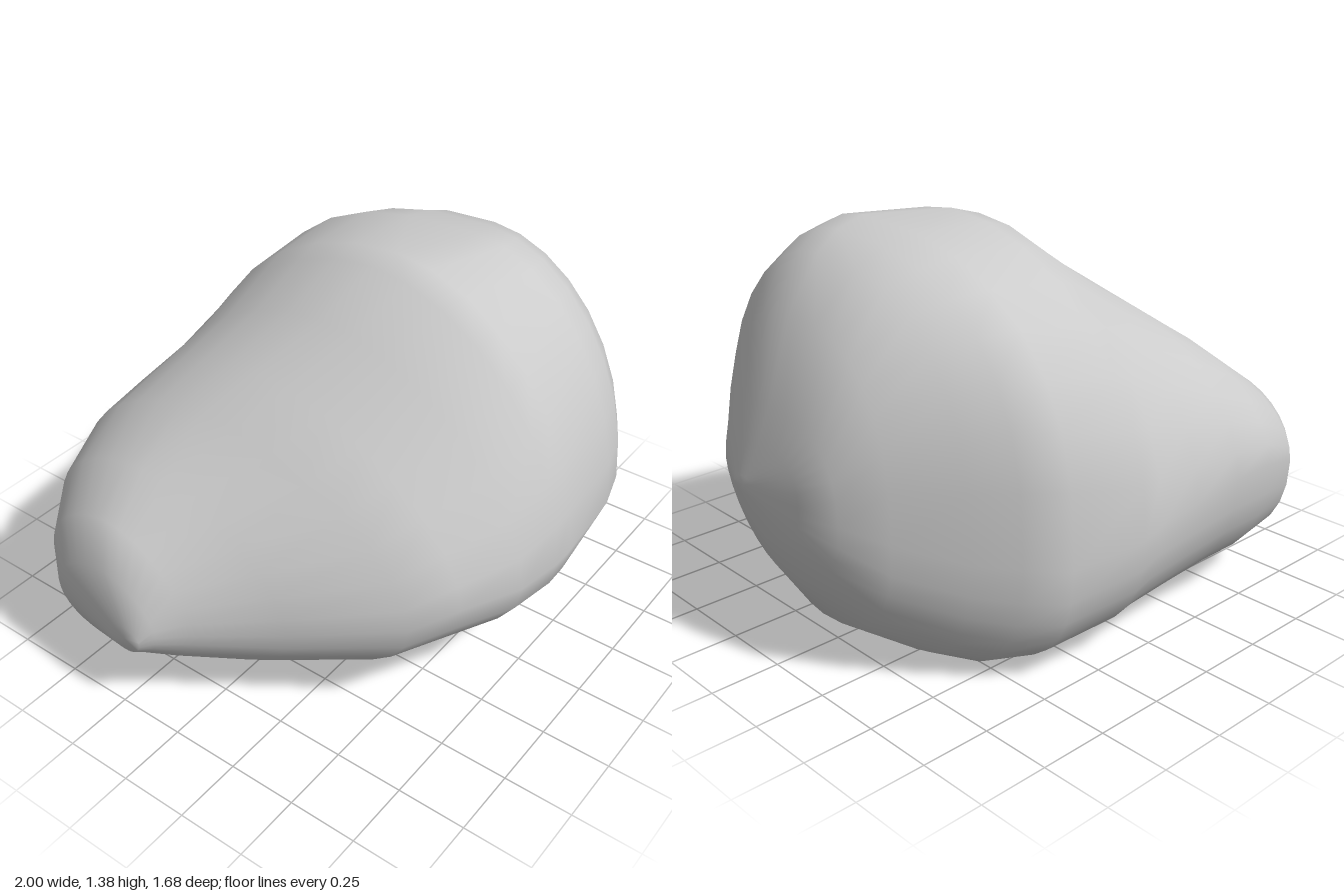
import * as THREE from 'three';

const { lerp, smoothstep } = THREE.MathUtils;

// Cross-sections along x:
// [x, top, bottom, back z, front z, widest y at back, widest y at front, ridge z, keel z]
const sections = [
  [-1.00, 0.37, 0.27, -0.28, -0.14, 0.32, 0.33, -0.21, -0.21],
  [-0.96, 0.53, 0.22, -0.56, -0.10, 0.37, 0.35, -0.32, -0.30],
  [-0.88, 0.67, 0.16, -0.66, -0.01, 0.42, 0.35, -0.36, -0.32],
  [-0.70, 0.78, 0.08, -0.79, 0.25, 0.48, 0.36, -0.36, -0.34],
  [-0.50, 0.94, 0.06, -0.84, 0.60, 0.54, 0.43, -0.25, -0.34],
  [-0.34, 1.06, 0.05, -0.83, 0.70, 0.53, 0.46, -0.15, -0.33],
  [-0.14, 1.21, 0.035, -0.82, 0.81, 0.50, 0.47, -0.03, -0.34],
  [0.04, 1.36, 0.025, -0.82, 0.84, 0.48, 0.47, 0.05, -0.35],
  [0.13, 1.385, 0.02, -0.83, 0.84, 0.46, 0.47, 0.09, -0.35],
  [0.41, 1.385, 0.005, -0.78, 0.83, 0.43, 0.50, 0.22, -0.33],
  [0.53, 1.36, 0.0, -0.68, 0.80, 0.44, 0.53, 0.20, -0.30],
  [0.65, 1.31, 0.04, -0.57, 0.73, 0.46, 0.56, 0.15, -0.20],
  [0.82, 1.16, 0.13, -0.40, 0.49, 0.52, 0.60, 0.08, -0.02],
  [0.93, 0.88, 0.31, -0.28, 0.34, 0.58, 0.62, 0.06, 0.04],
  [0.97, 0.75, 0.45, -0.13, 0.25, 0.61, 0.61, 0.08, 0.08],
  [1.00, 0.64, 0.58, 0.08, 0.18, 0.61, 0.61, 0.13, 0.13],
];

const SIDES = 32;

// How boxy each quarter of a section is (2 = elliptical, less = flatter slope)
function boxiness(x, isTop, isFront) {
  if (isTop) return isFront ? lerp(1.75, 1.95, smoothstep(x, -0.3, 0.3)) : lerp(1.85, 2.55, smoothstep(x, 0, 0.45));
  return isFront ? lerp(2.15, 1.6, smoothstep(x, 0, 0.55)) : lerp(2.3, 2.5, smoothstep(x, 0, 0.45));
}

// One point on a lopsided superellipse
function sectionPoint(s, angle) {
  const [x, top, bottom, back, front, yBack, yFront, ridge, keel] = s;
  const c = Math.cos(angle), n = Math.sin(angle);
  const isTop = n >= 0, isFront = c >= 0;
  const power = 2 / boxiness(x, isTop, isFront);
  return [
    x,
    lerp(isFront ? yFront : yBack, isTop ? top : bottom, Math.abs(n) ** power),
    lerp(isTop ? ridge : keel, isFront ? front : back, Math.abs(c) ** power),
  ];
}

function boulderGeometry() {
  const positions = [], index = [];
  for (const s of sections) {
    for (let j = 0; j < SIDES; j++) positions.push(...sectionPoint(s, (j / SIDES) * Math.PI * 2));
  }
  // Skin between neighbouring sections
  const last = sections.length - 1;
  for (let i = 0; i < last; i++) {
    for (let j = 0; j < SIDES; j++) {
      const k = (j + 1) % SIDES;
      const a = i * SIDES + j, b = a + SIDES, c = (i + 1) * SIDES + k, d = i * SIDES + k;
      index.push(a, b, c, a, c, d);
    }
  }
  // Close both ends
  for (const i of [0, last]) {
    const [x, top, bottom, back, front] = sections[i];
    const centre = positions.length / 3;
    positions.push(x, (top + bottom) / 2, (back + front) / 2);
    for (let j = 0; j < SIDES; j++) {
      const a = i * SIDES + j, b = i * SIDES + ((j + 1) % SIDES);
      if (i === 0) index.push(centre, a, b);
      else index.push(centre, b, a);
    }
  }
  const geometry = new THREE.BufferGeometry();
  geometry.setAttribute('position', new THREE.Float32BufferAttribute(positions, 3));
  geometry.setIndex(index);
  geometry.computeVertexNormals();
  return geometry;
}

export function createModel() {
  const group = new THREE.Group();
  group.name = 'rock';
  const boulder = new THREE.Mesh(boulderGeometry(), new THREE.MeshStandardMaterial({ color: 0xcccccc }));
  boulder.name = 'boulder';
  group.add(boulder);
  return group;
}
